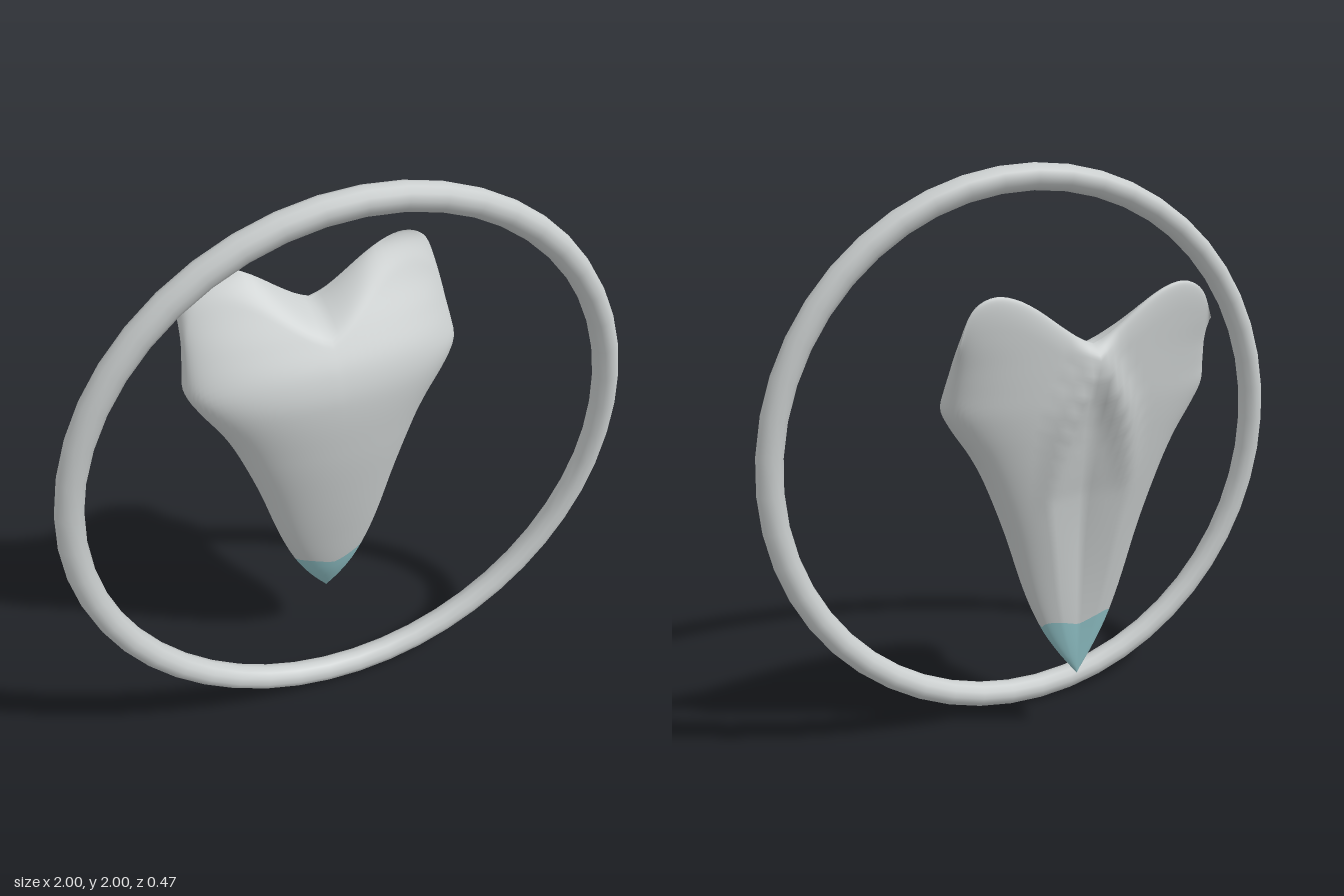
import * as THREE from 'three';

// Smooth curve through [position, value] points
function curve(p) {
  const slope = i => {
    const a = p[Math.max(i - 1, 0)], b = p[Math.min(i + 1, p.length - 1)];
    return (b[1] - a[1]) / (b[0] - a[0]);
  };
  return v => {
    let i = 0;
    while (i < p.length - 2 && v > p[i + 1][0]) i++;
    const h = p[i + 1][0] - p[i][0];
    const t = THREE.MathUtils.clamp((v - p[i][0]) / h, 0, 1), t2 = t * t, t3 = t2 * t;
    return (2 * t3 - 3 * t2 + 1) * p[i][1] + (t3 - 2 * t2 + t) * h * slope(i)
      + (3 * t2 - 2 * t3) * p[i + 1][1] + (t3 - t2) * h * slope(i + 1);
  };
}

const TIP = 0.23;
// Tooth profiles by height: half width, front, side edge and back depth
const halfWidth = curve([[0.23, 0], [0.3, 0.053], [0.4, 0.115], [0.5, 0.16], [0.6, 0.195], [0.8, 0.255],
  [1.0, 0.33], [1.1, 0.38], [1.2, 0.445], [1.27, 0.48], [1.33, 0.475], [1.42, 0.462], [1.5, 0.457], [1.64, 0.45]]);
const frontZ = curve([[0.23, -0.06], [0.3, -0.02], [0.4, 0.02], [0.6, 0.06], [0.8, 0.088], [1.0, 0.105],
  [1.2, 0.103], [1.3, 0.07], [1.4, 0], [1.5, -0.08], [1.6, -0.155], [1.64, -0.18]]);
const sideZ = curve([[0.23, -0.07], [0.6, -0.05], [1.0, -0.06], [1.27, -0.07], [1.4, -0.11], [1.5, -0.15], [1.64, -0.185]]);
const backZ = curve([[0.23, -0.08], [0.4, -0.097], [0.6, -0.122], [0.94, -0.17], [1.1, -0.188], [1.3, -0.2], [1.64, -0.195]]);
// Two-lobed top edge, by distance from the middle
const topY = curve([[0, 1.46], [0.1, 1.48], [0.22, 1.515], [0.44, 1.585], [0.6, 1.622], [0.75, 1.635],
  [0.88, 1.615], [0.95, 1.575], [1, 1.5]]);

// Back surface: two keels run up from the tip, then join in a central ridge
function backSurface(s, c, y) {
  const m = sideZ(y);
  const keel = 0.5 * THREE.MathUtils.clamp((1.42 - y) / 0.48, 0, 1);
  const rise = THREE.MathUtils.smoothstep(y, 0.85, 1.4) * (1 - THREE.MathUtils.smoothstep(y, 1.42, 1.52));
  let z = m + (backZ(y) - m) * Math.pow(c, 0.7);
  z -= 0.035 * rise * Math.max(0, 1 - Math.abs(s - keel) / 0.18);
  if (s < keel) z += 0.045 * (1 - s / keel) * (keel / 0.5) * THREE.MathUtils.smoothstep(y, TIP, 0.9);
  return z;
}

function toothGeometry(rows, cols, tipRows) {
  const pos = [], index = [];
  for (let i = 0; i <= rows; i++) {
    const t = 1 - Math.pow(1 - i / rows, 1.7);
    const k = Math.sqrt(Math.max(0, 1 - Math.max(0, (t - 0.93) / 0.07) ** 2));
    for (let j = 0; j < cols; j++) {
      const a = j / cols * Math.PI * 2, sx = Math.sin(a), s = Math.abs(sx), c = Math.abs(Math.cos(a));
      const y = TIP + (topY(s) - TIP) * t;
      const z = Math.cos(a) > 0
        ? sideZ(y) + (frontZ(y) - sideZ(y)) * Math.pow(c, 0.8)
        : backSurface(s, c, y);
      // front and back close on the rounded top edge
      const closeZ = -0.175;
      pos.push(sx * halfWidth(y) - 0.02, y, closeZ + (z - closeZ) * k);
    }
  }
  for (let i = 0; i < rows; i++) for (let j = 0; j < cols; j++) {
    const n = (j + 1) % cols, a = i * cols + j, b = i * cols + n;
    index.push(a, b, b + cols, a, b + cols, a + cols);
  }
  const g = new THREE.BufferGeometry();
  g.setAttribute('position', new THREE.Float32BufferAttribute(pos, 3));
  g.setIndex(index);
  g.computeVertexNormals();
  const split = tipRows * cols * 6;
  g.addGroup(0, split, 0);
  g.addGroup(split, index.length - split, 1);
  return g;
}

export function createModel() {
  const group = new THREE.Group();
  const bone = new THREE.MeshStandardMaterial({ color: 0xc9cdcd });
  bone.name = 'pale grey';
  const teal = new THREE.MeshStandardMaterial({ color: 0x8fc0c5 });
  teal.name = 'soft teal';

  // Hoop standing in front of the tooth
  const ring = new THREE.Mesh(new THREE.TorusGeometry(0.955, 0.045, 12, 48), bone);
  ring.name = 'ring';
  ring.position.set(0, 1, 0.19);

  // Tooth with a tinted tip
  const tooth = new THREE.Mesh(toothGeometry(60, 96, 6), [teal, bone]);
  tooth.name = 'tooth';

  group.add(ring, tooth);
  return group;
}
